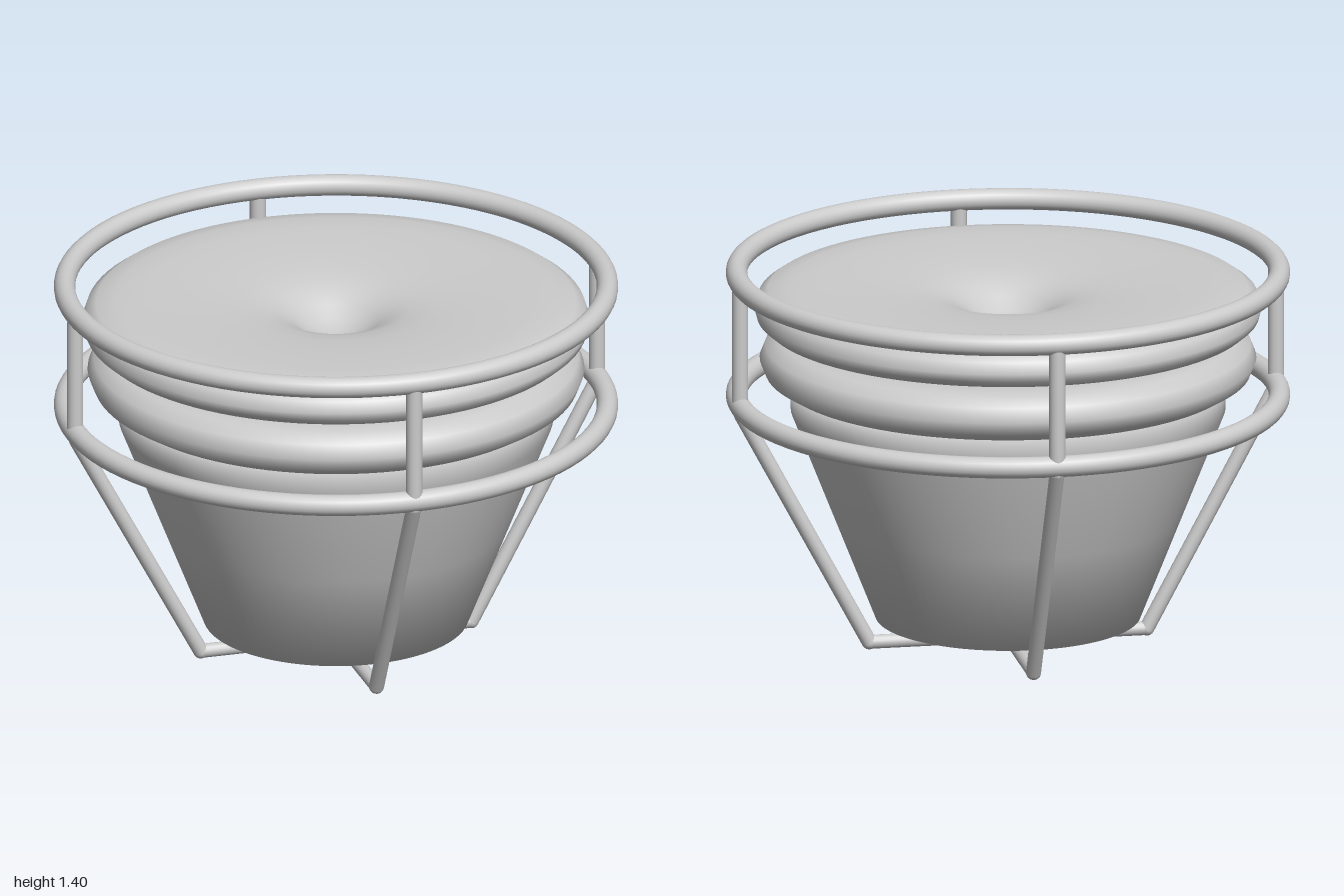
import * as THREE from 'three';

const material = new THREE.MeshStandardMaterial({ color: 0xcccccc, side: THREE.DoubleSide });

function addMesh(parent, name, geometry) {
  const mesh = new THREE.Mesh(geometry, material);
  mesh.name = name;
  parent.add(mesh);
  return mesh;
}

// Solid of revolution from [radius, y] pairs, listed bottom to top
function lathe(points) {
  return new THREE.LatheGeometry(points.map(([r, y]) => new THREE.Vector2(r, y)), 96);
}

// Round bar between two points
function addBar(parent, name, a, b, radius) {
  const dir = b.clone().sub(a);
  const mesh = addMesh(parent, name, new THREE.CylinderGeometry(radius, radius, dir.length(), 16));
  mesh.position.copy(a).add(b).multiplyScalar(0.5);
  mesh.quaternion.setFromUnitVectors(new THREE.Vector3(0, 1, 0), dir.normalize());
}

function addJoint(parent, name, p, radius) {
  addMesh(parent, name, new THREE.SphereGeometry(radius, 16, 12)).position.copy(p);
}

export function createModel() {
  const model = new THREE.Group();
  model.name = 'roundSeat';

  // Tapered tub with a flat base
  addMesh(model, 'tub', lathe([[0, 0.1], [0.47, 0.1], [0.62, 0.48], [0.77, 0.86], [0.77, 0.96], [0, 0.96]]));

  // Lower cushion
  addMesh(model, 'lowerCushion', lathe([
    [0, 0.95], [0.74, 0.955], [0.81, 0.97], [0.86, 1.0], [0.88, 1.05],
    [0.86, 1.1], [0.81, 1.13], [0.74, 1.14], [0, 1.145],
  ]));

  // Upper cushion, dished towards a dimple in the middle
  addMesh(model, 'upperCushion', lathe([
    [0, 1.135], [0.54, 1.14], [0.78, 1.16], [0.86, 1.18], [0.89, 1.205], [0.898, 1.235],
    [0.885, 1.275], [0.85, 1.3], [0.78, 1.313], [0.68, 1.315], [0.5, 1.308], [0.35, 1.295],
    [0.26, 1.28], [0.2, 1.26], [0.15, 1.23], [0.1, 1.195], [0.05, 1.175], [0, 1.17],
  ]));

  // Two hoops around the seat
  const frame = new THREE.Group();
  frame.name = 'frame';
  model.add(frame);
  for (const [name, y] of [['upperHoop', 1.362], ['lowerHoop', 0.912]]) {
    const hoop = addMesh(frame, name, new THREE.TorusGeometry(0.962, 0.038, 20, 96));
    hoop.rotation.x = Math.PI / 2;
    hoop.position.y = y;
  }

  // Four posts and slanted legs, joined by crossed bars under the tub
  const foot = new THREE.Vector3(0.5, 0.027, 0);
  const knee = new THREE.Vector3(0.96, 0.885, 0);
  for (let i = 0; i < 4; i++) {
    const side = new THREE.Group();
    side.name = 'support' + (i + 1);
    side.rotation.y = i * Math.PI / 2;
    frame.add(side);
    addBar(side, 'post', new THREE.Vector3(0.965, 0.93, 0), new THREE.Vector3(0.965, 1.34, 0), 0.029);
    addBar(side, 'leg', foot, knee, 0.027);
    addJoint(side, 'legTop', knee, 0.027);
    addJoint(side, 'foot', foot, 0.027);
    addBar(side, 'baseBar', new THREE.Vector3(0, 0.027, 0), foot, 0.025);
  }
  return model;
}
